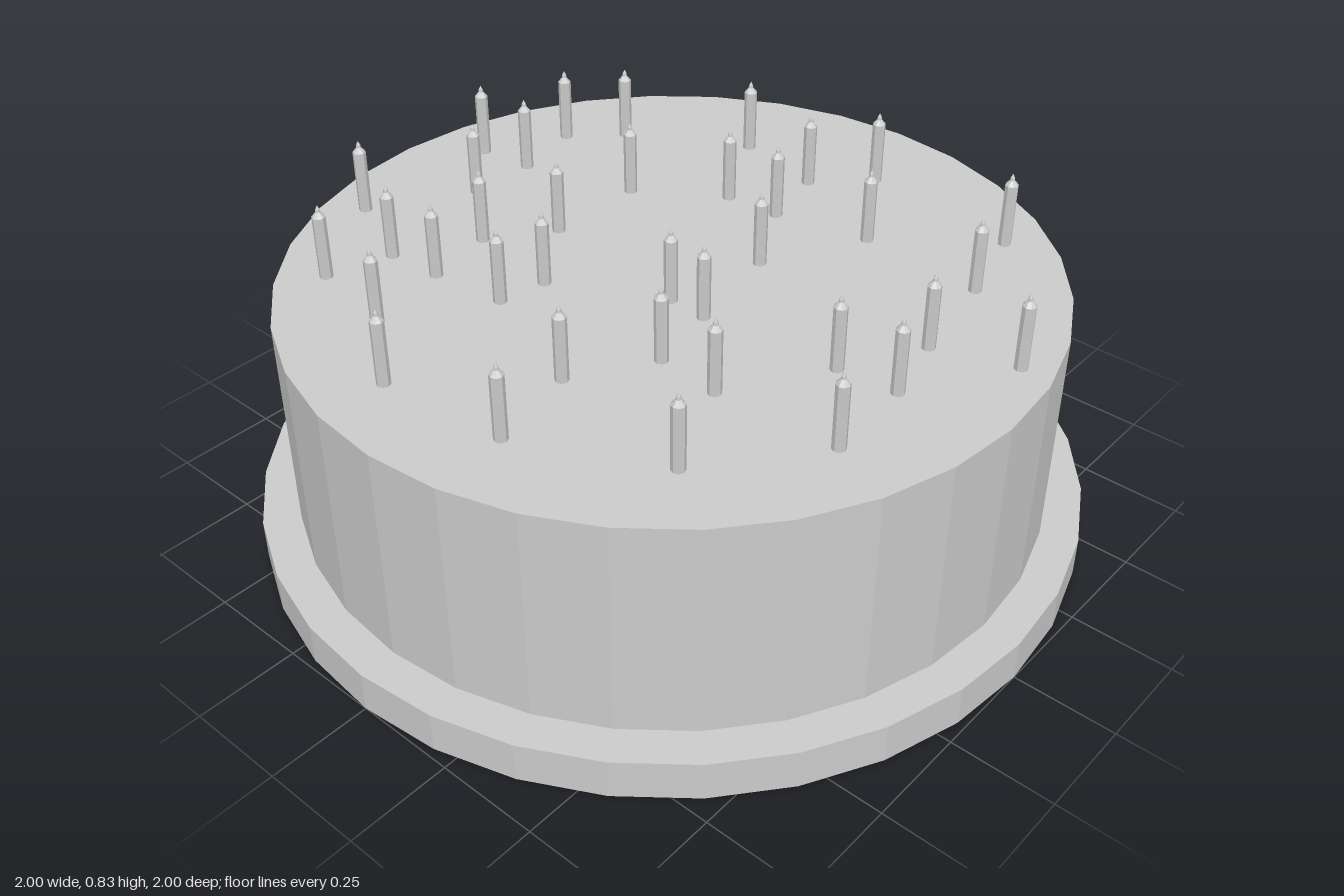
import * as THREE from 'three';

const SIDES = 32;
const CAKE_TOP = 0.64;

// Candle positions on the cake top, as [x, z]
const CANDLES = [
  [-0.28, -0.75], [0.12, -0.75], [0.32, -0.65], [-0.04, -0.61], [0.135, -0.61],
  [-0.54, -0.58], [-0.38, -0.535], [0.43, -0.54], [-0.19, -0.43], [-0.37, -0.395],
  [-0.585, -0.35], [-0.04, -0.325], [0.215, -0.325], [0.59, -0.25], [-0.35, -0.205],
  [-0.23, -0.185], [-0.73, -0.16], [0.35, -0.12], [0.54, -0.02], [0.36, 0.02],
  [0.66, 0.1], [-0.095, 0.08], [-0.1, 0.18], [0.16, 0.13], [-0.475, 0.11],
  [-0.7, 0.16], [-0.285, 0.22], [0.41, 0.255], [-0.3, 0.38], [-0.54, 0.49],
  [-0.065, 0.52], [0.61, 0.51], [0.39, 0.57], [-0.28, 0.685], [-0.05, 0.665],
  [0.13, 0.62], [0.195, 0.81],
];

export function createModel() {
  const model = new THREE.Group();
  model.name = 'candleCake';
  const material = new THREE.MeshStandardMaterial({ color: 0xcccccc, flatShading: true });

  // Flat faceted disc standing between two heights
  const disc = (name, radius, bottom, top) => {
    const mesh = new THREE.Mesh(
      new THREE.CylinderGeometry(radius, radius, top - bottom, SIDES), material);
    mesh.position.y = (bottom + top) / 2;
    mesh.name = name;
    model.add(mesh);
  };
  disc('plate', 1, 0, 0.1);
  disc('cake', 0.91, 0.1, CAKE_TOP);

  // Candle: straight stick, short shoulder and thin pointed wick
  const profile = [[0, 0], [0.016, 0], [0.016, 0.158], [0.006, 0.17], [0.005, 0.177], [0, 0.187]]
    .map(([r, y]) => new THREE.Vector2(r, y));
  const candleGeometry = new THREE.LatheGeometry(profile, 8);

  const candles = new THREE.Group();
  candles.name = 'candles';
  CANDLES.forEach(([x, z], i) => {
    const candle = new THREE.Mesh(candleGeometry, material);
    candle.position.set(x, CAKE_TOP, z);
    candle.name = `candle${i + 1}`;
    candles.add(candle);
  });
  model.add(candles);

  return model;
}
